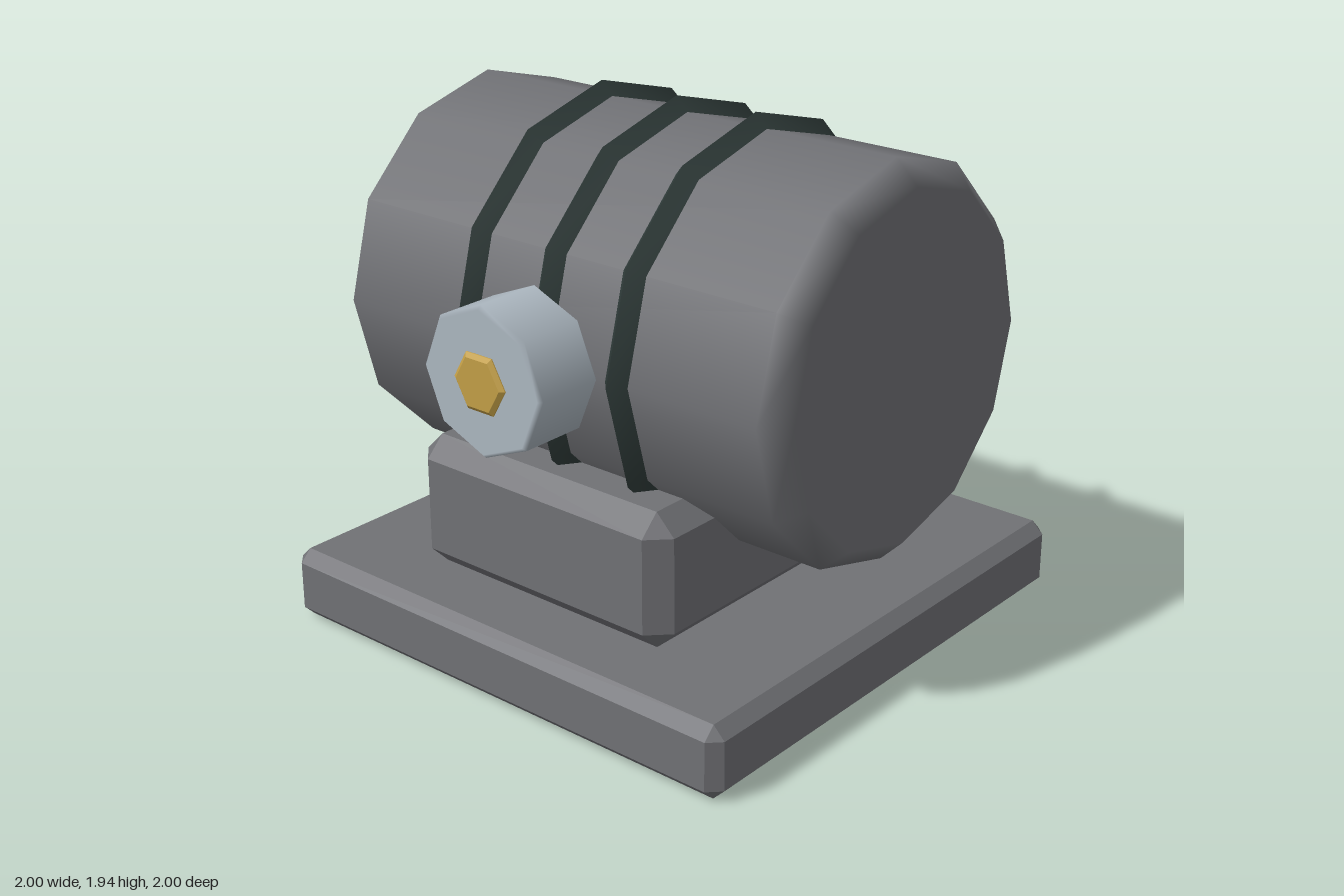
import * as THREE from 'three';
import { toCreasedNormals } from 'three/addons/utils/BufferGeometryUtils.js';
import { ConvexGeometry } from 'three/addons/geometries/ConvexGeometry.js';

const flat = (name, color) => {
  const m = new THREE.MeshStandardMaterial({ color });
  m.name = name;
  return m;
};

// Box with every edge and corner cut off by c
function chamferBox(w, h, d, c) {
  const points = [];
  for (const x of [-w / 2, w / 2])
    for (const y of [-h / 2, h / 2])
      for (const z of [-d / 2, d / 2])
        for (let axis = 0; axis < 3; axis++) {
          const p = [x, y, z].map((v, i) => (i === axis ? v : v - Math.sign(v) * c));
          points.push(new THREE.Vector3(...p));
        }
  return new ConvexGeometry(points);
}

const profile = (pairs) => pairs.map(([r, y]) => new THREE.Vector2(r, y));

// Bevelled drum along y: flat caps, smooth wall, shading blended over the bevel
function drum(radius, length, inset, bevel, sides) {
  const h = length / 2;
  const geo = new THREE.LatheGeometry(profile([
    [0, -h], [radius - inset, -h], [radius, -h + bevel],
    [radius, h - bevel], [radius - inset, h], [0, h],
  ]), sides);
  const { position: pos, normal } = geo.attributes;
  const n = new THREE.Vector3();
  for (let i = 0; i < pos.count; i++) {
    const y = pos.getY(i);
    if (Math.abs(y) > h - bevel / 2) n.set(0, Math.sign(y), 0);
    else n.set(pos.getX(i), 0, pos.getZ(i)).normalize();
    normal.setXYZ(i, n.x, n.y, n.z);
  }
  return geo;
}

export function createModel() {
  const group = new THREE.Group();
  group.name = 'tankOnStand';
  const grey = flat('greyMetal', 0x707175);
  const dark = flat('darkBand', 0x2f3b39);
  const steel = flat('paleSteel', 0xacb7c0);
  const brass = flat('brass', 0xc29e46);

  const add = (name, geo, mat, x, y, z) => {
    const mesh = new THREE.Mesh(geo, mat);
    mesh.name = name;
    mesh.position.set(x, y, z);
    group.add(mesh);
  };

  // Stand
  add('basePlate', chamferBox(2, 0.27, 2, 0.045), grey, 0, 0.135, 0);
  add('saddle', chamferBox(1.15, 0.5, 1.54, 0.075), grey, 0, 0.52, 0);

  // Tank lying along x
  const axisY = 1.18;
  add('tank', drum(0.712, 2, 0.085, 0.085, 12).rotateZ(-Math.PI / 2), grey, 0, axisY, 0);

  // Ridged bands around the tank
  const band = toCreasedNormals(
    new THREE.LatheGeometry(profile([[0.705, -0.055], [0.763, 0], [0.705, 0.055]]), 12), 0.7,
  ).rotateZ(-Math.PI / 2);
  for (const x of [-0.345, 0, 0.345]) add('band', band, dark, x, axisY, 0);

  // Front valve with a hexagonal nut
  add('valve', drum(0.267, 0.275, 0.014, 0.014, 8).rotateX(Math.PI / 2), steel, 0, axisY, 0.847);
  const nut = toCreasedNormals(new THREE.LatheGeometry(profile([
    [0, -0.03], [0.115, -0.03], [0.115, 0.018], [0.098, 0.03], [0, 0.03],
  ]), 6, Math.PI / 6), 0.2).rotateX(Math.PI / 2);
  add('nut', nut, brass, 0, axisY, 0.97);

  return group;
}
